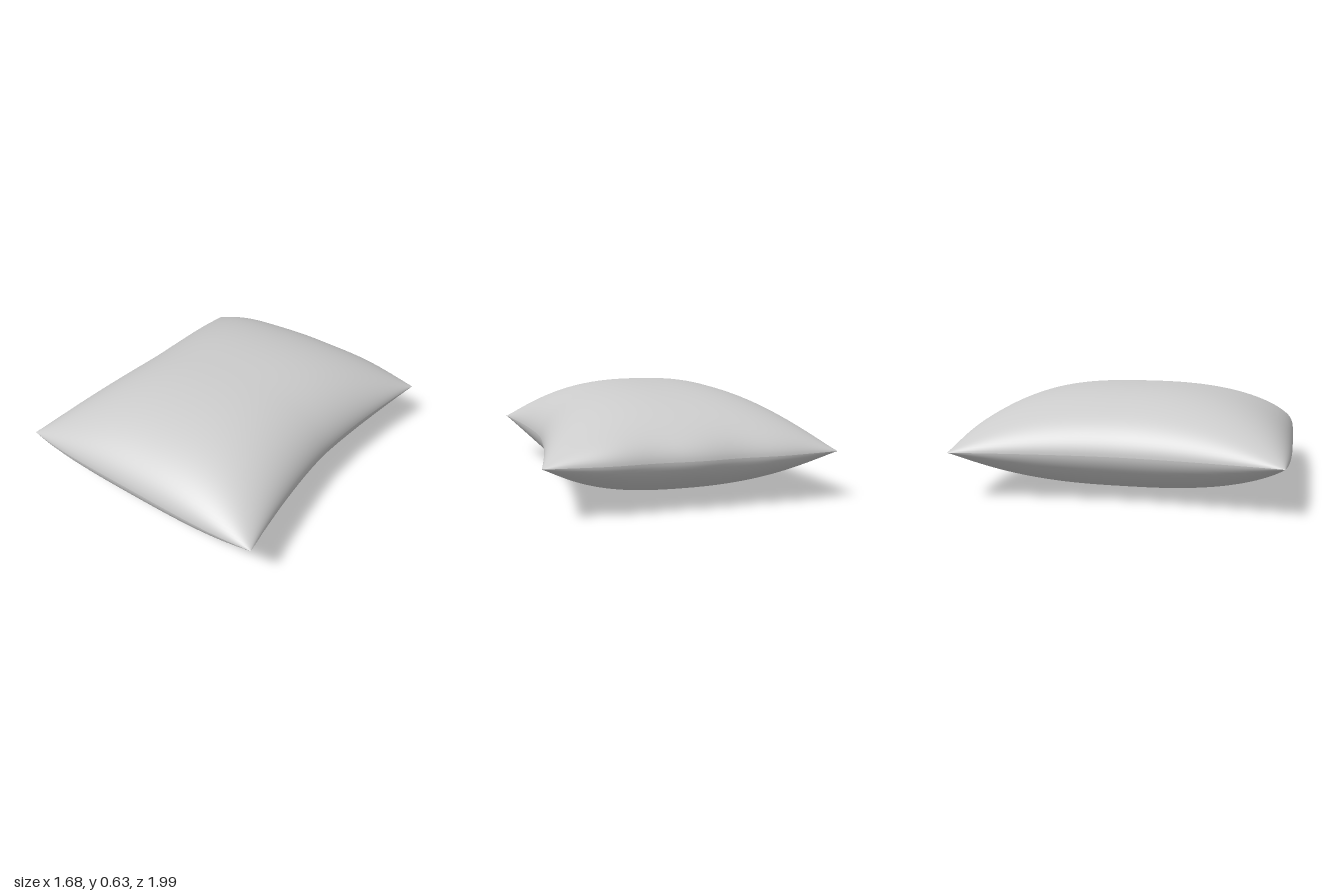
import * as THREE from 'three';

const SEAM_Y = 0.295;

// Fullness across the cushion: flat in the middle, steep at the seam
const puff = (t) => Math.pow(Math.max(0, 1 - Math.pow(Math.abs(t), 2.5)), 0.55);

// Outline: long sides pulled in at the middle, short sides slightly bowed and wavy
function outline(u, v) {
  const waist = u > 0 ? 0.72 : 0.75;
  const half = waist + (0.84 - waist) * Math.pow(Math.abs(v), 1.6);
  const ripple = v < 0 ? 0.007 * Math.cos(u * 10.5) * Math.pow(v, 6) * (1 - u * u) : 0;
  return [u * half, v * (0.957 + 0.035 * (1 - u ** 4) + ripple)];
}

// One fabric panel: a plane puffed up (side = 1) or down (side = -1) from the seam
function panel(name, side, depth, material) {
  const geometry = new THREE.PlaneGeometry(2, 2, 56, 56);
  geometry.rotateX(-side * Math.PI / 2);
  const p = geometry.attributes.position;
  for (let i = 0; i < p.count; i++) {
    // Rows gather towards the seam, where the curve is tightest
    const u = Math.sin(p.getX(i) * Math.PI / 2);
    const v = Math.sin(p.getZ(i) * Math.PI / 2);
    const [x, z] = outline(u, v);
    p.setXYZ(i, x, SEAM_Y + side * depth * puff(u) * puff(v), z);
  }
  geometry.computeVertexNormals();
  const mesh = new THREE.Mesh(geometry, material);
  mesh.name = name;
  return mesh;
}

export function createModel() {
  const fabric = new THREE.MeshStandardMaterial({ color: 0xcccccc, side: THREE.DoubleSide });
  const pillow = new THREE.Group();
  pillow.name = 'pillow';
  pillow.add(
    panel('topPanel', 1, 0.332, fabric),
    panel('bottomPanel', -1, SEAM_Y, fabric),
  );
  return pillow;
}
